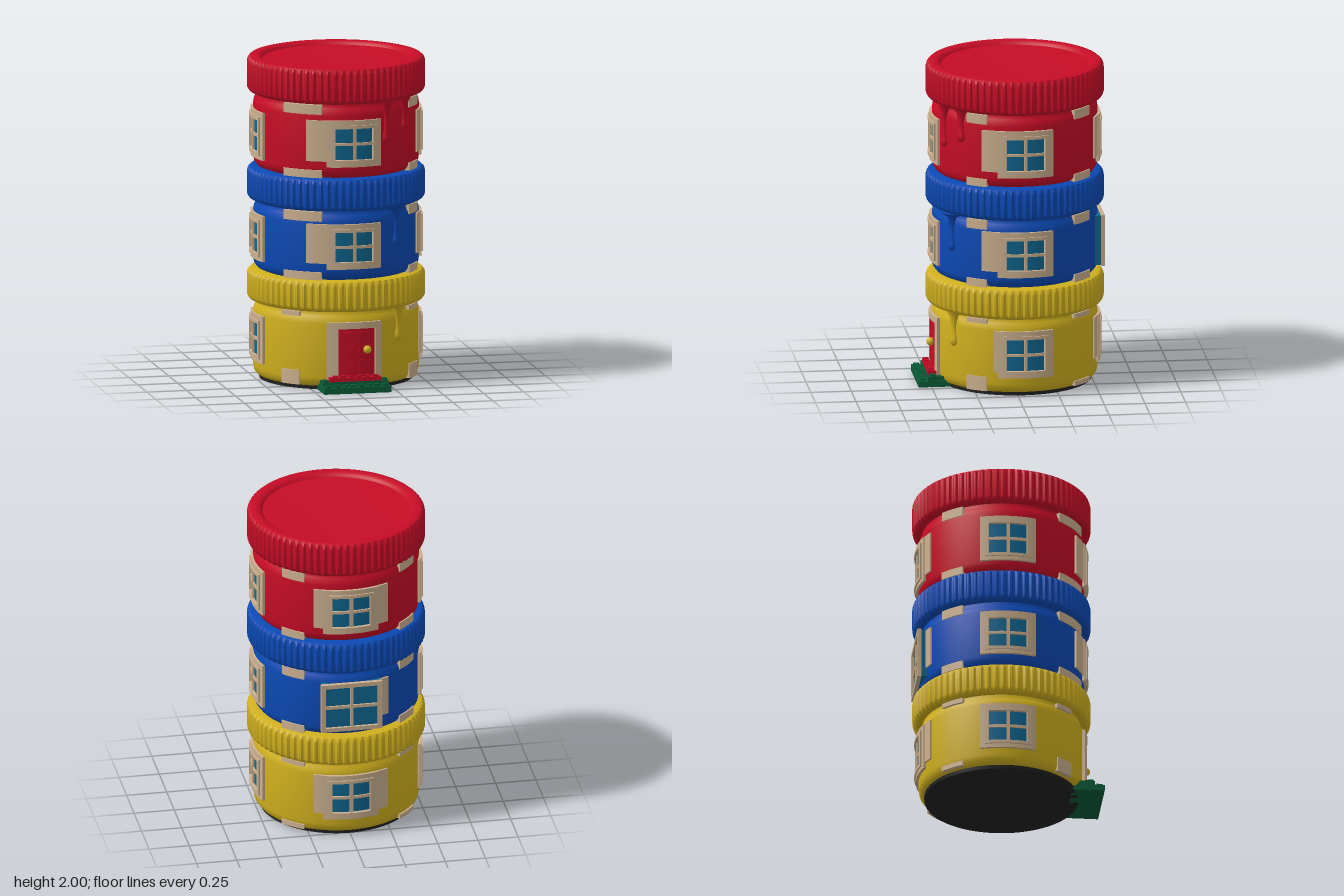
import * as THREE from 'three';
import { toCreasedNormals } from 'three/addons/utils/BufferGeometryUtils.js';

const mat = (name, color) => {
  const m = new THREE.MeshStandardMaterial({ color });
  m.name = name;
  return m;
};

export function createModel() {
  const red = mat('red', 0xc60c26), blue = mat('blue', 0x0b49b4), yellow = mat('yellow', 0xd0b01e);
  const beige = mat('beige', 0xcbb08f), glass = mat('glass blue', 0x0f6690);
  const green = mat('green', 0x0a5c38), black = mat('black', 0x222222);

  const model = new THREE.Group();
  model.name = 'jarTower';
  const tower = new THREE.Group();
  tower.name = 'tower';
  tower.position.z = -0.035;
  model.add(tower);

  const add = (parent, name, geo, material, x = 0, y = 0, z = 0) => {
    const m = new THREE.Mesh(geo, material);
    m.name = name;
    m.position.set(x, y, z);
    parent.add(m);
    return m;
  };
  const group = (name, parent = tower) => {
    const g = new THREE.Group();
    g.name = name;
    parent.add(g);
    return g;
  };
  const rad = THREE.MathUtils.degToRad;
  const R = 0.515;

  // Box wrapped round the tower: u is arc length from the angle, r the radius
  const wrapped = (deg, u0, u1, y0, y1, r0, r1) => {
    const g = new THREE.BoxGeometry(u1 - u0, y1 - y0, r1 - r0, Math.max(1, Math.ceil((u1 - u0) / 0.03)));
    g.translate((u0 + u1) / 2, (y0 + y1) / 2, (r0 + r1) / 2);
    const p = g.attributes.position;
    for (let i = 0; i < p.count; i++) {
      const a = rad(deg) + p.getX(i) / R, r = p.getZ(i);
      p.setXYZ(i, r * Math.sin(a), p.getY(i), r * Math.cos(a));
    }
    g.computeVertexNormals();
    return g;
  };

  const lathe = (pts, segs) =>
    new THREE.LatheGeometry(pts.map(([r, y]) => new THREE.Vector2(r, y)), segs);

  // Screw lid with vertical ribs cut into its outer wall
  const lid = (y0, y1, ribs, dished) => {
    const pts = [[0.46, y0], [0.515, y0], [0.533, y0 + 0.008], [0.542, y0 + 0.02], [0.545, y0 + 0.03],
      [0.545, y1 - 0.035], [0.54, y1 - 0.018], [0.526, y1 - 0.005], [0.505, y1]];
    pts.push(...(dished
      ? [[0.475, y1 - 0.002], [0.458, y1 - 0.012], [0.45, y1 - 0.024], [0.25, y1 - 0.029], [0.001, y1 - 0.031]]
      : [[0.44, y1]]));
    const g = lathe(pts, ribs * 4);
    const p = g.attributes.position;
    for (let i = 0; i < p.count; i++) {
      const x = p.getX(i), z = p.getZ(i), r = Math.hypot(x, z);
      const step = Math.round((Math.atan2(x, z) / (2 * Math.PI) + 1) * ribs * 4) % 4;
      if (r > 0.53 && step > 1) {
        const k = (r - 0.011) / r;
        p.setX(i, x * k);
        p.setZ(i, z * k);
      }
    }
    return toCreasedNormals(g, 0.6);
  };

  // Jar body with rounded foot, shoulder and narrower neck
  const body = (y0, y1) => toCreasedNormals(lathe([[0.001, y0], [0.455, y0], [0.485, y0 + 0.012],
    [0.502, y0 + 0.035], [0.507, y0 + 0.065], [0.507, y1 - 0.075], [0.503, y1 - 0.05],
    [0.492, y1 - 0.03], [0.485, y1 - 0.015], [0.485, y1 + 0.02]], 96), 0.6);

  // Curved four-pane window; shutters lists [u0, u1] beside the frame
  const windowAt = (name, deg, y0, y1, shutters = []) => {
    const g = group(name);
    const w = 0.172, gx = 0.12, gy0 = y0 + 0.045, gy1 = y1 - 0.05;
    const bar = (part, a, b, c, d, r) => add(g, part, wrapped(deg, a, b, c, d, 0.49, r), beige);
    add(g, 'glass', wrapped(deg, -gx, gx, gy0, gy1, 0.5, 0.512), glass);
    const frame = (part, ox, oy0, oy1, ix, iy0, iy1, r) => {
      bar(part, -ox, -ix, oy0, oy1, r);
      bar(part, ix, ox, oy0, oy1, r);
      bar(part, -ix, ix, oy0, iy0, r);
      bar(part, -ix, ix, iy1, oy1, r);
    };
    frame('outerFrame', w, y0, y1, 0.14, y0 + 0.025, y1 - 0.03, 0.524);
    frame('innerFrame', 0.14, y0 + 0.025, y1 - 0.03, gx - 0.004, gy0, gy1, 0.533);
    const my = (gy0 + gy1) / 2;
    bar('mullion', -0.01, 0.01, gy0, gy1, 0.523);
    bar('crossbar', -gx, gx, my - 0.009, my + 0.009, 0.522);
    for (const [a, b] of shutters) bar('shutter', a, b, y0 + 0.035, y1, 0.518);
  };

  // Hanging drop of paint: a tapered run ending in a bead
  const drip = (deg, top, bottom, material, width = 0.05) => {
    const h = top - bottom, b = 0.031;
    const g = lathe([[0.001, 0], [b * 0.7, 0.01], [b, 0.03], [b * 0.9, 0.05], [0.021, 0.085],
      [0.02, h * 0.6], [0.03, h * 0.85], [width, h]], 20);
    g.scale(1, 1, 0.75);
    const m = add(tower, 'drip', g, material, 0.505 * Math.sin(rad(deg)), bottom, 0.505 * Math.cos(rad(deg)));
    m.rotation.y = rad(deg);
  };

  // Three stacked jars
  add(tower, 'base', new THREE.CylinderGeometry(0.475, 0.47, 0.04, 96), black, 0, 0.02);
  const floors = [
    { n: 'lower', m: yellow, y0: 0.015, y1: 0.49, top: 0.68, ribs: 72 },
    { n: 'middle', m: blue, y0: 0.68, y1: 1.115, top: 1.315, ribs: 76 },
    { n: 'upper', m: red, y0: 1.315, y1: 1.78, top: 2, ribs: 76 },
  ];
  floors.forEach((f, i) => {
    add(tower, f.n + 'Jar', body(f.y0, f.y1), f.m);
    add(tower, f.n + 'Lid', lid(f.y1, f.top, f.ribs, i === 2), f.m);

    // Exposed bricks near the foot and the neck
    const narrow = i === 0;
    for (const [deg, w] of [[-37, narrow ? 0.13 : 0.26], [56, 0.14], [138, 0.16], [-132, 0.16]]) {
      const front = Math.abs(deg) < 90;
      const low = narrow ? [0.03, front ? 0.12 : 0.06] : [f.y0 + 0.006, f.y0 + 0.055];
      const c = narrow ? (deg === -37 ? -46 : deg) : deg;
      add(tower, 'footBrick', wrapped(c, -w / 2, w / 2, low[0], low[1], 0.46, 0.514), beige);
      add(tower, 'neckBrick', wrapped(c, -w / 2, w / 2, f.y1 - (narrow ? 0.035 : 0.065), f.y1 - 0.006, 0.46, 0.512), beige);
    }
  });

  // Windows
  const leftShutter = [[-0.3, -0.172]];
  const bothShutters = [[-0.235, -0.172], [0.172, 0.245]];
  windowAt('upperFrontWindow', 0, 1.39, 1.68, leftShutter);
  windowAt('middleFrontWindow', 0, 0.755, 1.035, leftShutter);
  [[0.12, 0.415], [0.755, 1.04], [1.385, 1.68]].forEach(([y0, y1], i) => {
    windowAt('leftSideWindow', 91, y0, y1, i ? [[-0.275, -0.172]] : [[-0.2, -0.172]]);
    windowAt('rightSideWindow', -91, y0, y1);
    if (i !== 1) windowAt('backWindow', 180, y0, y1, bothShutters);
  });

  // Flat bay window at the back of the middle jar
  const bay = group('bayWindow');
  bay.rotation.y = Math.PI;
  const box = (p, name, m, x0, x1, y0, y1, z0, z1) =>
    add(p, name, new THREE.BoxGeometry(x1 - x0, y1 - y0, z1 - z0), m, (x0 + x1) / 2, (y0 + y1) / 2, (z0 + z1) / 2);
  box(bay, 'bayGlass', glass, -0.185, 0.185, 0.735, 1.045, 0.44, 0.518);
  for (const s of [-1, 1]) box(bay, 'bayFrameSide', beige, s * 0.176 - 0.014, s * 0.176 + 0.014, 0.73, 1.05, 0.51, 0.535);
  for (const y of [0.742, 1.036]) box(bay, 'bayFrameRail', beige, -0.162, 0.162, y - 0.013, y + 0.013, 0.51, 0.535);
  box(bay, 'bayMullion', beige, -0.01, 0.01, 0.755, 1.025, 0.51, 0.53);
  box(bay, 'bayCrossbar', beige, -0.162, 0.162, 0.88, 0.9, 0.51, 0.529);
  add(tower, 'bayShutter', wrapped(180, 0.19, 0.25, 0.79, 1.04, 0.49, 0.518), beige);

  // Door with frame, raised panels and knob
  const door = group('door');
  add(door, 'doorLeaf', wrapped(0, -0.105, 0.135, 0.07, 0.39, 0.49, 0.516), red);
  add(door, 'doorFrameSide', wrapped(0, -0.172, -0.1, 0.05, 0.425, 0.49, 0.526), beige);
  add(door, 'doorFrameSide', wrapped(0, 0.13, 0.172, 0.05, 0.425, 0.49, 0.526), beige);
  add(door, 'doorFrameTop', wrapped(0, -0.1, 0.13, 0.385, 0.425, 0.49, 0.526), beige);
  for (const x of [-0.04, 0.068])
    for (const [a, b] of [[0.12, 0.19], [0.21, 0.28], [0.3, 0.365]])
      add(door, 'doorPanel', wrapped(0, x - 0.042, x + 0.042, a, b, 0.51, 0.521), red);
  add(door, 'knob', new THREE.SphereGeometry(0.025, 20, 14), yellow, 0.078, 0.255, 0.528);

  // Studded steps
  const steps = group('steps', model);
  box(steps, 'lowerStep', green, -0.21, 0.21, 0, 0.038, 0.38, 0.58);
  box(steps, 'upperStep', green, -0.205, 0.205, 0.038, 0.064, 0.38, 0.522);
  box(steps, 'redStep', red, -0.16, 0.16, 0.064, 0.088, 0.38, 0.518);
  for (let i = 0; i < 8; i++) {
    const x = (i - 3.5) * 0.05;
    box(steps, 'greenStud', green, x - 0.017, x + 0.017, 0.038, 0.052, 0.532, 0.568);
    if (i > 0 && i < 7) box(steps, 'redStud', red, x - 0.015, x + 0.015, 0.088, 0.1, 0.485, 0.512);
  }
  for (const s of [-1, 1])
    box(steps, 'sideStud', green, s * 0.184 - 0.014, s * 0.184 + 0.014, 0.064, 0.076, 0.475, 0.512);

  // Paint drips below the lids
  drip(36, 0.5, 0.28, yellow);
  drip(34, 1.125, 0.875, blue, 0.085);
  drip(25, 1.79, 1.52, red);
  drip(43, 1.79, 1.58, red);

  return model;
}
